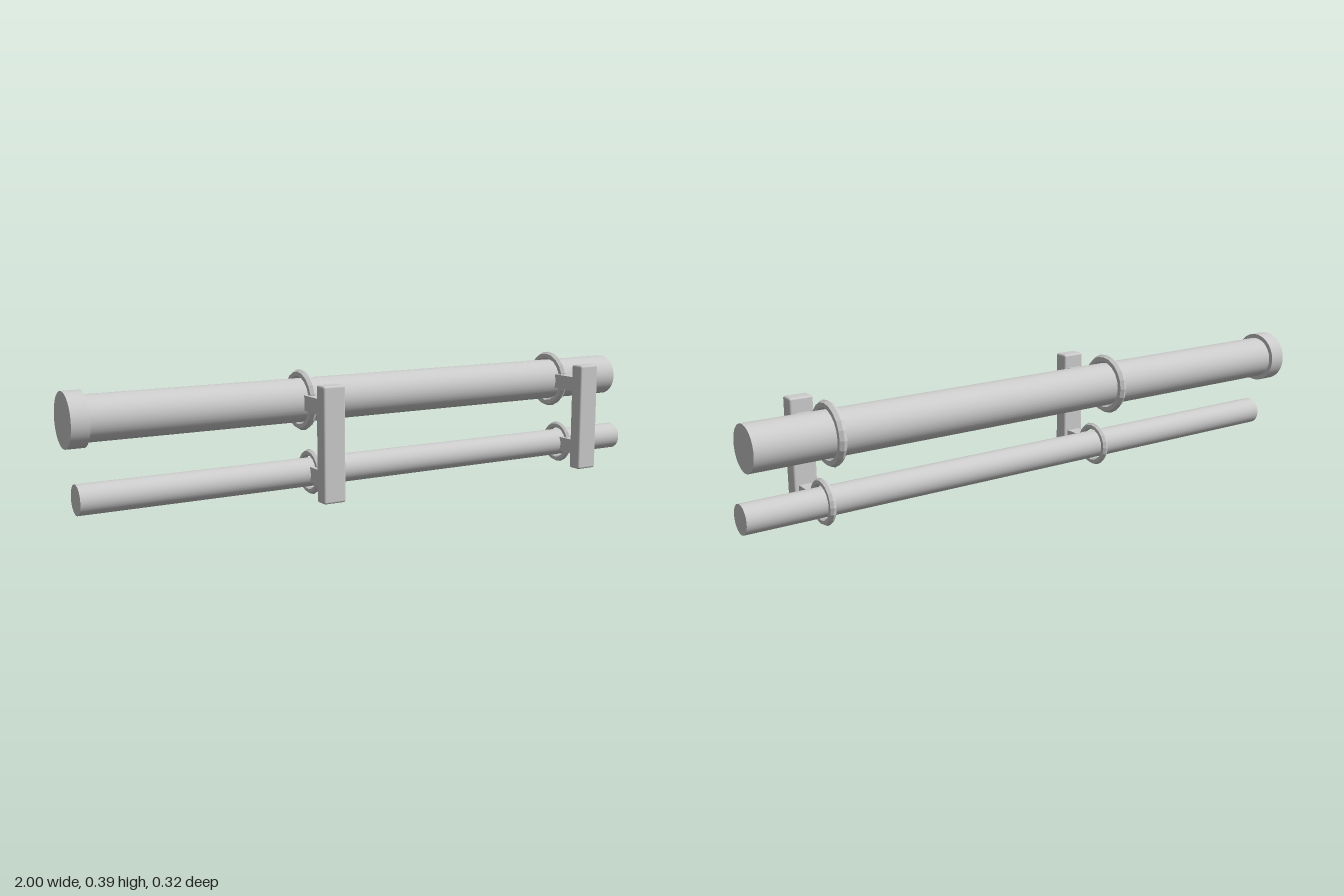
import * as THREE from 'three';
import { RoundedBoxGeometry } from 'three/addons/geometries/RoundedBoxGeometry.js';

export function createModel() {
  const root = new THREE.Group();
  root.name = 'doubleRail';

  const metal = new THREE.MeshStandardMaterial({ color: 0xcccccc });
  metal.name = 'light grey metal';
  const ringMetal = new THREE.MeshStandardMaterial({ color: 0xcccccc, flatShading: true });
  ringMetal.name = 'light grey faceted metal';

  const add = (parent, name, geometry, x, y, z, material = metal) => {
    const mesh = new THREE.Mesh(geometry, material);
    mesh.name = name;
    mesh.position.set(x, y, z);
    parent.add(mesh);
    return mesh;
  };

  // Cylinder lying along x between two ends
  const rod = (name, radius, x0, x1, y, z) =>
    add(root, name, new THREE.CylinderGeometry(radius, radius, x1 - x0, 40).rotateZ(Math.PI / 2),
      (x0 + x1) / 2, y, z);

  const upper = { name: 'upper', y: 0.292, z: -0.06, ring: 0.083, tube: 0.0135, armEnd: 0.006 };
  const lower = { name: 'lower', y: 0.073, z: 0, ring: 0.06, tube: 0.011, armEnd: 0.04 };

  // Two parallel rods, the upper one with an end cap
  rod('upperRod', 0.069, -0.99, 0.998, upper.y, upper.z);
  rod('lowerRod', 0.045, -0.99, 0.998, lower.y, lower.z);
  rod('endCap', 0.083, -1, -0.945, upper.y, upper.z);

  // Brackets: upright plate, with an arm and a ring for each rod
  for (const x of [-0.247, 0.748]) {
    const bracket = new THREE.Group();
    bracket.name = 'bracket';
    bracket.position.x = x;
    root.add(bracket);
    add(bracket, 'mountingPlate', new RoundedBoxGeometry(0.075, 0.359, 0.048, 2, 0.007), 0, 0.182, 0.135);
    for (const r of [upper, lower]) {
      const back = 0.15;
      add(bracket, r.name + 'Arm', new THREE.BoxGeometry(0.046, 0.048, back - r.armEnd),
        0, r.y, (back + r.armEnd) / 2);
      add(bracket, r.name + 'Ring',
        new THREE.TorusGeometry(r.ring, r.tube, 6, 20).rotateY(Math.PI / 2), 0, r.y, r.z, ringMetal);
    }
  }
  return root;
}
